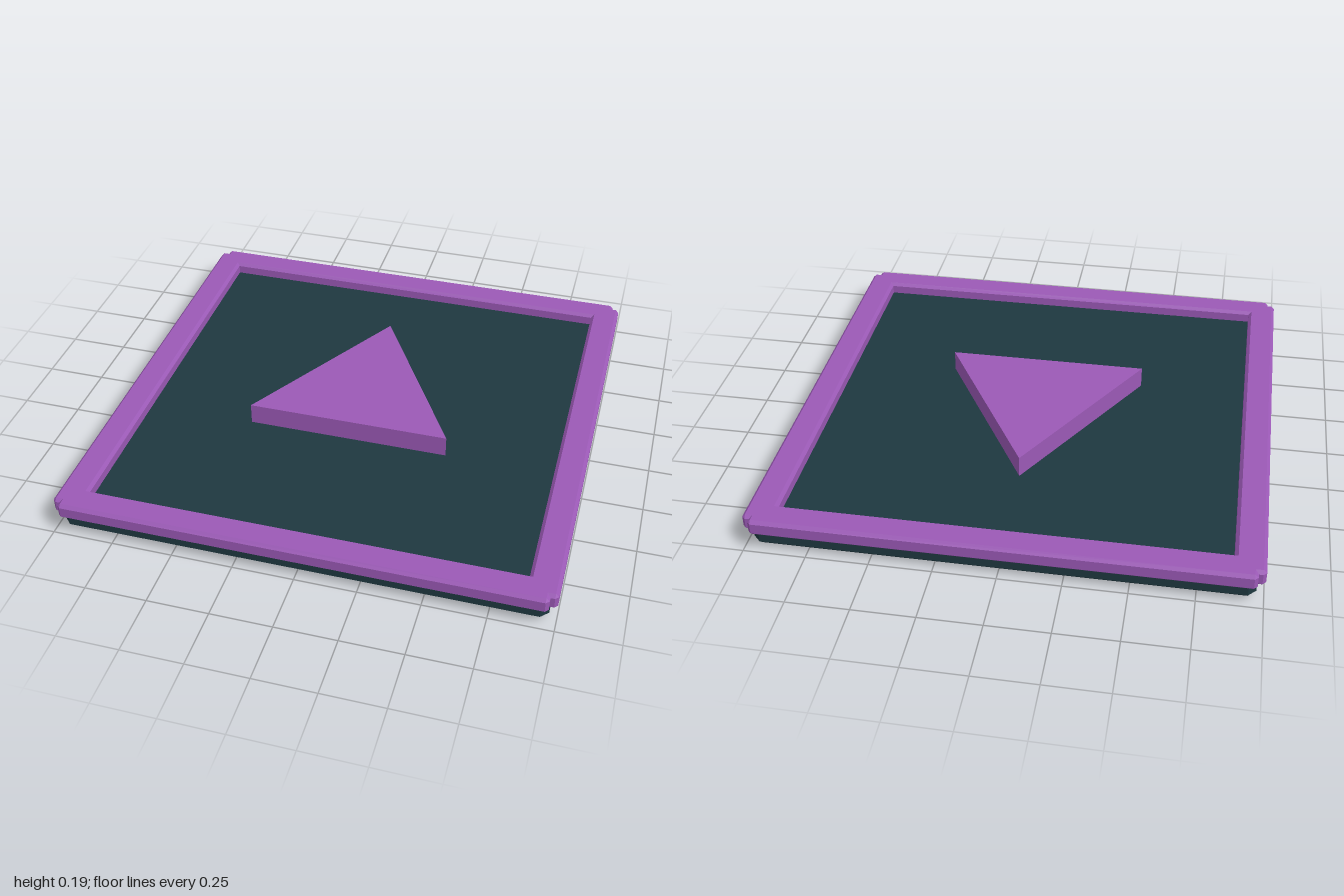
import * as THREE from 'three';
import { ConvexGeometry } from 'three/addons/geometries/ConvexGeometry.js';

// Box with every edge cut by a flat chamfer c
function chamferBox(w, h, d, c) {
  const half = [w / 2, h / 2, d / 2];
  const points = [];
  for (const sx of [-1, 1]) for (const sy of [-1, 1]) for (const sz of [-1, 1]) {
    const s = [sx, sy, sz];
    for (let axis = 0; axis < 3; axis++) {
      points.push(new THREE.Vector3(...half.map((v, i) => s[i] * (i === axis ? v : v - c))));
    }
  }
  return new ConvexGeometry(points);
}

export function createModel() {
  const model = new THREE.Group();
  model.name = 'floorPanel';
  const purple = new THREE.MeshStandardMaterial({ color: 0x9b59b6, flatShading: true });
  const dark = new THREE.MeshStandardMaterial({ color: 0x1e3840, flatShading: true });

  const add = (name, geometry, material, x, y, z) => {
    const mesh = new THREE.Mesh(geometry, material);
    mesh.name = name;
    mesh.position.set(x, y, z);
    model.add(mesh);
    return mesh;
  };

  // Dark slab
  add('base', chamferBox(1.94, 0.1, 1.94, 0.03), dark, 0, 0.05, 0);

  // Four rim bars, one per side
  const bar = chamferBox(1.94, 0.07, 0.12, 0.013);
  ['frontRim', 'leftRim', 'backRim', 'rightRim'].forEach((name, i) => {
    const a = i * Math.PI / 2;
    add(name, bar, purple, 0.94 * Math.sin(a), 0.115, 0.94 * Math.cos(a)).rotation.y = a;
  });

  // Raised triangle pointing to the back
  const triangle = new THREE.CylinderGeometry(0.49, 0.49, 0.1, 3);
  add('arrowTriangle', triangle, purple, 0, 0.14, 0).rotation.y = Math.PI;

  return model;
}
